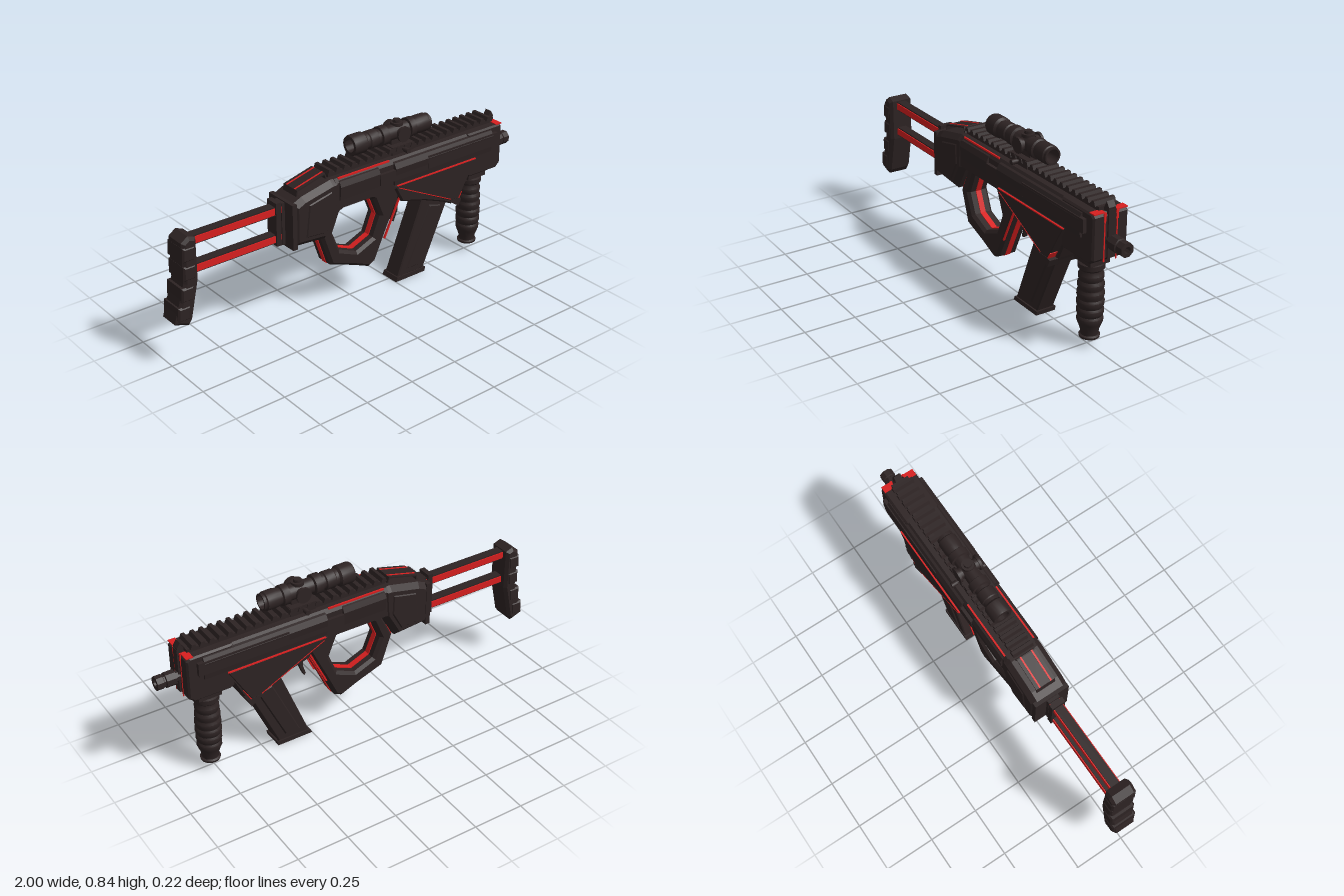
import * as THREE from 'three';
import { toCreasedNormals } from 'three/addons/utils/BufferGeometryUtils.js';

export function createModel() {
  const root = new THREE.Group();
  root.name = 'compactRifle';
  const dark = new THREE.MeshStandardMaterial({ color: 0x2d2323 });
  dark.name = 'darkMetal';
  const red = new THREE.MeshStandardMaterial({ color: 0xd81f1f });
  red.name = 'redAccent';

  const add = (name, geo, mat = dark) => {
    const m = new THREE.Mesh(geo, mat);
    m.name = name;
    root.add(m);
    return m;
  };
  const shapeOf = pts => new THREE.Shape(pts.map(p => new THREE.Vector2(p[0], p[1])));

  // Side-profile slab from z0 to z1, with optional bevel and hole
  const slab = (name, pts, z0, z1, mat = dark, bevel = 0, hole = null) => {
    const s = shapeOf(pts);
    if (hole) s.holes.push(shapeOf(hole));
    const g = new THREE.ExtrudeGeometry(s, {
      depth: z1 - z0 - 2 * bevel, bevelEnabled: bevel > 0, bevelThickness: bevel,
      bevelSize: bevel, bevelOffset: -bevel, bevelSegments: 1,
    });
    g.translate(0, 0, z0 + bevel);
    return add(name, g, mat);
  };
  // Cross-section of [z, y] points swept from x0 to x1
  const sweep = (name, pts, x0, x1, mat = dark) => {
    const g = new THREE.ExtrudeGeometry(shapeOf(pts.map(([z, y]) => [-z, y])), { depth: x1 - x0, bevelEnabled: false });
    g.rotateY(Math.PI / 2);
    g.translate(x0, 0, 0);
    return add(name, g, mat);
  };
  const box = (name, x0, x1, y0, y1, z0, z1, mat = dark) =>
    add(name, new THREE.BoxGeometry(x1 - x0, y1 - y0, z1 - z0)
      .translate((x0 + x1) / 2, (y0 + y1) / 2, (z0 + z1) / 2), mat);
  const lathe = (pts, sides) => toCreasedNormals(
    new THREE.LatheGeometry(pts.map(p => new THREE.Vector2(p[0], p[1])), sides), 0.6);
  // Thin stripe between two side-profile points
  const stripe = (name, a, b, w, z0, z1) => {
    const l = Math.hypot(b[0] - a[0], b[1] - a[1]);
    const nx = -(b[1] - a[1]) / l * w, ny = (b[0] - a[0]) / l * w;
    return slab(name, [a, b, [b[0] + nx, b[1] + ny], [a[0] + nx, a[1] + ny]], z0, z1, red);
  };

  // Shoulder stock: segmented butt pad
  slab('buttPad', [[-0.945, 0.615], [-0.91, 0.64], [-0.872, 0.625], [-0.872, 0.42], [-0.912, 0.235],
    [-0.93, 0.21], [-1, 0.235], [-0.962, 0.36], [-0.945, 0.42]], -0.062, 0.062, dark, 0.014);
  for (const [x, y] of [[-0.95, 0.56], [-0.95, 0.47], [-0.966, 0.37], [-0.988, 0.28]])
    slab('buttRib', [[x, y - 0.034], [x + 0.06, y - 0.034], [x + 0.066, y + 0.034], [x + 0.004, y + 0.034]], -0.066, 0.066, dark, 0.008);
  // Stock rods with red sides
  for (const y of [0.597, 0.459]) {
    box('stockRod', -0.88, -0.37, y - 0.022, y + 0.022, -0.022, 0.022);
    for (const s of [-1, 1])
      box('rodStripe', -0.872, -0.395, y - 0.016, y + 0.016, s * 0.024 - 0.003, s * 0.024 + 0.003, red);
  }
  box('stockCollar', -0.442, -0.416, 0.425, 0.64, -0.035, 0.035);
  box('stockCollarPlate', -0.408, -0.385, 0.42, 0.63, -0.03, 0.03);

  // Rear receiver
  slab('rearReceiver', [[-0.385, 0.42], [-0.2, 0.405], [-0.13, 0.53], [-0.12, 0.69], [-0.17, 0.69],
    [-0.33, 0.655], [-0.385, 0.63]], -0.095, 0.095, dark, 0.025);
  box('rearFlange', -0.392, -0.368, 0.41, 0.635, -0.09, 0.09);
  slab('rearSidePanel', [[-0.33, 0.45], [-0.22, 0.44], [-0.165, 0.54], [-0.17, 0.65], [-0.31, 0.62]], -0.1, 0.1, dark, 0.012);

  // Cheek rest: thin raised frame
  slab('cheekRestTop', [[-0.335, 0.672], [-0.18, 0.712], [-0.18, 0.719], [-0.337, 0.679]], -0.05, 0.05);
  slab('cheekRestRear', [[-0.343, 0.645], [-0.336, 0.645], [-0.33, 0.679], [-0.337, 0.679]], -0.05, 0.05);
  slab('cheekRestFront', [[-0.186, 0.718], [-0.18, 0.719], [-0.168, 0.685], [-0.175, 0.685]], -0.05, 0.05);
  for (const s of [-1, 1]) stripe('cheekRestStripe', [-0.337, 0.679], [-0.18, 0.719], 0.002, s * 0.03 - 0.004, s * 0.03 + 0.004);

  // Upper receiver and front block
  sweep('upperReceiver', [[-0.09, 0.54], [0.09, 0.54], [0.09, 0.67], [0.075, 0.69], [-0.075, 0.69], [-0.09, 0.67]], -0.15, 0.68);
  slab('frontBlock', [[0.66, 0.47], [0.68, 0.458], [0.86, 0.458], [0.886, 0.48], [0.886, 0.675], [0.87, 0.69], [0.66, 0.69]],
    -0.09, 0.09, dark, 0.008);
  for (const s of [-1, 1]) {
    sweep('sideShoulder', [[s * 0.08, 0.56], [s * 0.1, 0.565], [s * 0.11, 0.65], [s * 0.095, 0.675], [s * 0.08, 0.68]], 0.19, 0.81);
    sweep('rearShoulder', [[s * 0.08, 0.58], [s * 0.098, 0.585], [s * 0.104, 0.65], [s * 0.092, 0.676], [s * 0.08, 0.68]], -0.13, 0.1);
    box('handguardPanel', 0.39, 0.84, 0.595, 0.66, s * 0.1 - 0.009, s * 0.1 + 0.009);
    box('receiverPanel', 0.1, 0.39, 0.59, 0.645, s * 0.098 - 0.008, s * 0.098 + 0.008);
    box('receiverStripe', -0.13, 0.17, 0.684, 0.692, s * 0.078 - 0.004, s * 0.078 + 0.004, red);
    box('frontStripe', 0.884, 0.888, 0.465, 0.69, s * 0.032 - 0.003, s * 0.032 + 0.003, red);
    box('frontStripeCap', 0.884, 0.889, 0.65, 0.69, s * 0.032 - 0.006, s * 0.032 + 0.006, red);
    box('frontTopStripe', 0.85, 0.885, 0.688, 0.693, s * 0.058 - 0.028, s * 0.058 + 0.028, red);
  }

  // Top rail with teeth, and front sight
  box('topRail', -0.16, 0.86, 0.685, 0.708, -0.045, 0.045);
  for (let i = 0; i < 23; i++) {
    const x = -0.15 + i * 0.0445;
    slab('railTooth', [[x - 0.016, 0.706], [x + 0.016, 0.706], [x + 0.008, 0.727], [x - 0.008, 0.727]], -0.054, 0.054);
  }
  slab('frontSight', [[0.85, 0.69], [0.89, 0.69], [0.892, 0.71], [0.876, 0.735], [0.862, 0.71]], -0.018, 0.018);
  box('frontSpine', 0.88, 0.894, 0.48, 0.7, -0.018, 0.018);

  // Muzzle
  const muzzle = lathe([[0, 0.88], [0.026, 0.88], [0.026, 0.905], [0.036, 0.908], [0.036, 0.955], [0.03, 0.958],
    [0.03, 0.965], [0.034, 0.968], [0.034, 1], [0.016, 1], [0.016, 0.96], [0, 0.96]], 8);
  muzzle.rotateY(Math.PI / 8).rotateZ(-Math.PI / 2).translate(0, 0.558, 0);
  add('muzzle', muzzle);

  // Thumbhole grip with a red core stripe
  const octagon = r => Array.from({ length: 8 }, (_, i) =>
    [0.005 + r * Math.cos(i * Math.PI / 4), 0.397 + r * Math.sin(i * Math.PI / 4)]);
  const grip = [[-0.12, 0.57], [-0.205, 0.395], [-0.15, 0.235], [-0.01, 0.185], [0.08, 0.147],
    [0.118, 0.165], [0.175, 0.29], [0.26, 0.47], [0.25, 0.58]];
  slab('thumbholeGrip', grip, -0.056, 0.056, dark, 0.014, octagon(0.142));
  slab('gripStripe', grip.map(([x, y]) => [0.01 + (x - 0.01) * 1.018, 0.38 + (y - 0.38) * 1.01]),
    -0.014, 0.014, red, 0, octagon(0.138));
  for (const s of [-1, 1]) {
    stripe('gripEdgeStripe', [-0.14, 0.535], [-0.202, 0.395], 0.007, s * 0.044 - 0.003, s * 0.044 + 0.003);
    stripe('gripEdgeStripe', [0.255, 0.465], [0.165, 0.275], 0.008, s * 0.054 - 0.004, s * 0.054 + 0.004);
  }

  // Trigger
  slab('trigger', [[0.265, 0.45], [0.3, 0.45], [0.288, 0.41], [0.284, 0.37], [0.262, 0.315], [0.254, 0.325],
    [0.268, 0.37], [0.268, 0.41]], -0.012, 0.012);

  // Magazine well with wide triangular side plates
  slab('magazineWell', [[0.2, 0.57], [0.265, 0.445], [0.41, 0.405], [0.53, 0.36], [0.59, 0.33], [0.615, 0.375], [0.7, 0.55]],
    -0.07, 0.07, dark, 0.008);
  slab('sidePlate', [[0.19, 0.56], [0.7, 0.56], [0.595, 0.378], [0.545, 0.378]], -0.11, 0.11, dark, 0.004);
  slab('magazineCollar', [[0.53, 0.38], [0.595, 0.335], [0.612, 0.372], [0.59, 0.38]], -0.11, 0.11);
  for (const s of [-1, 1]) {
    const z0 = s * 0.106 - 0.004, z1 = s * 0.106 + 0.004;
    box('plateTopStripe', 0.2, 0.7, 0.558, 0.563, z0, z1, red);
    stripe('plateLowerStripe', [0.21, 0.547], [0.54, 0.386], 0.004, s * 0.1095 - 0.002, s * 0.1095 + 0.002);
    stripe('plateFrontStripe', [0.592, 0.375], [0.612, 0.41], -0.004, s * 0.075 - 0.035, s * 0.075 + 0.035);
  }

  // Magazine
  slab('magazine', [[0.42, 0.42], [0.59, 0.38], [0.43, 0.02], [0.265, 0.02]], -0.048, 0.048, dark, 0.006);
  slab('magazineBase', [[0.25, 0], [0.435, 0], [0.44, 0.022], [0.26, 0.022]], -0.052, 0.052);
  slab('magazinePanel', [[0.455, 0.36], [0.53, 0.34], [0.395, 0.05], [0.315, 0.05]], -0.054, 0.054, dark, 0.006);

  // Ribbed foregrip
  const ribs = [];
  for (let i = 0; i < 6; i++) {
    const y = 0.115 + i * 0.042, r = 0.054 + 0.005 * Math.sin((i + 0.6) / 5.6 * Math.PI);
    ribs.push([r - 0.002, y], [r + 0.003, y + 0.012], [r + 0.003, y + 0.028], [r - 0.003, y + 0.038]);
  }
  add('foregrip', lathe([[0, 0.045], [0.046, 0.045], [0.048, 0.055], [0.04, 0.06], [0.042, 0.082], ...ribs,
    [0.05, 0.375], [0.06, 0.385], [0.06, 0.408], [0.05, 0.412], [0.05, 0.46], [0, 0.46]], 20).translate(0.765, 0, 0));
  box('foregripMount', 0.71, 0.825, 0.415, 0.465, -0.052, 0.052);

  // Hollow scope tube
  const scope = lathe([[0.032, 0], [0.047, 0], [0.05, 0.008], [0.05, 0.07], [0.04, 0.08], [0.04, 0.095], [0.044, 0.1],
    [0.044, 0.145], [0.038, 0.15], [0.038, 0.165], [0.048, 0.168], [0.048, 0.205], [0.037, 0.21], [0.037, 0.335],
    [0.048, 0.338], [0.048, 0.37], [0.04, 0.375], [0.045, 0.4], [0.045, 0.45], [0.04, 0.455], [0.04, 0.468],
    [0.032, 0.468], [0.032, 0]], 20);
  add('scopeTube', scope.rotateZ(-Math.PI / 2).translate(0, 0.785, 0));
  // Turrets, mount and clamp screws
  const drum = (name, r, len, x, y, z, alongZ) => {
    const g = new THREE.CylinderGeometry(r, r, len, 16);
    if (alongZ) g.rotateX(Math.PI / 2);
    add(name, g.translate(x, y, z));
  };
  drum('turretPost', 0.019, 0.12, 0.28, 0.78, 0, false);
  drum('turretCap', 0.018, 0.014, 0.28, 0.837, 0, false);
  drum('turretCollar', 0.03, 0.016, 0.28, 0.823, 0, false);
  for (const s of [-1, 1]) {
    drum('sideTurretCollar', 0.028, 0.018, 0.28, 0.785, s * 0.042, true);
    drum('sideTurret', 0.038, 0.012, 0.28, 0.785, s * 0.055, true);
    drum('clampScrew', 0.007, 0.03, 0.28, 0.711, s * 0.058, true);
    drum('clampKnob', 0.012, 0.028, 0.28, 0.711, s * 0.077, true);
  }
  box('scopeMount', 0.215, 0.345, 0.69, 0.73, -0.05, 0.05);
  box('scopeMountNeck', 0.235, 0.325, 0.725, 0.755, -0.02, 0.02);

  return root;
}
